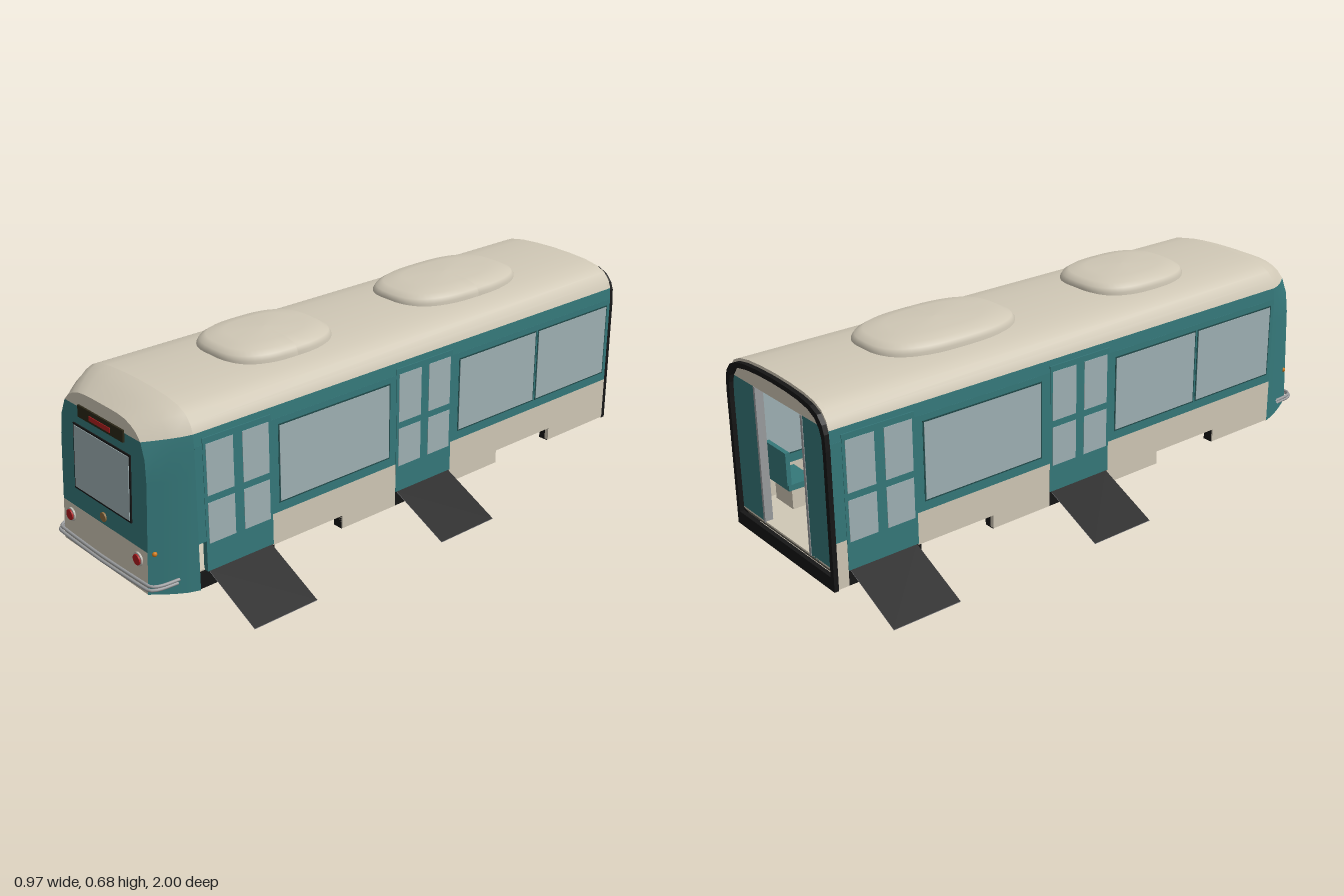
import * as THREE from 'three';

const TEAL = 0x35787a, CREAM = 0xd0c8b6, GLASS = 0x9fb1b4, BLACK = 0x161616, GREY = 0x9a9c9e;
const WALL_X = 0.2675;

// Half outlines (x, y), bottom edge to roof centre: body section and front face
const BODY = [[0.275, 0.047], [0.275, 0.42], [0.275, 0.5], [0.272, 0.55], [0.262, 0.577], [0.24, 0.602],
  [0.205, 0.618], [0.15, 0.628], [0.08, 0.633], [0, 0.635]];
const FACE = [[0.225, 0.07], [0.225, 0.42], [0.218, 0.49], [0.198, 0.54], [0.176, 0.562], [0.15, 0.576],
  [0.12, 0.585], [0.085, 0.589], [0.045, 0.59], [0, 0.59]];

const faceZ = y => 0.98 - 0.05 * (y - 0.07);
const mirrored = half => [...half, ...half.slice(0, -1).reverse().map(([x, y]) => [-x, y])];
const toShape = pts => new THREE.Shape(pts.map(([x, y]) => new THREE.Vector2(x, y)));

export function createModel() {
  const root = new THREE.Group();
  const mats = {};
  const mat = color => (mats[color] ??= new THREE.MeshStandardMaterial({ color, side: THREE.DoubleSide }));
  const add = (name, geo, color, parent = root) => {
    const m = new THREE.Mesh(geo, mat(color));
    m.name = name;
    parent.add(m);
    return m;
  };
  const group = name => {
    const g = new THREE.Group();
    g.name = name;
    root.add(g);
    return g;
  };
  // Box given by its limits on each axis
  const block = (name, [x0, x1], [y0, y1], [z0, z1], color, parent) => add(name,
    new THREE.BoxGeometry(Math.abs(x1 - x0), Math.abs(y1 - y0), Math.abs(z1 - z0))
      .translate((x0 + x1) / 2, (y0 + y1) / 2, (z0 + z1) / 2), color, parent);
  // Smooth skin through rows of [x, y, z]
  const loft = (name, rows, color, parent) => {
    const n = rows[0].length, idx = [];
    for (let r = 0; r < rows.length - 1; r++) for (let i = 0; i < n - 1; i++) {
      const a = r * n + i, b = a + n;
      idx.push(a, a + 1, b, a + 1, b + 1, b);
    }
    const g = new THREE.BufferGeometry();
    g.setAttribute('position', new THREE.Float32BufferAttribute(rows.flat(2), 3));
    g.setIndex(idx);
    g.computeVertexNormals();
    return add(name, g, color, parent);
  };
  // Lean a geometry built around z = 0 onto the sloping front face
  const onFace = geo => {
    const p = geo.attributes.position;
    for (let i = 0; i < p.count; i++) p.setZ(i, p.getZ(i) + faceZ(p.getY(i)));
    geo.computeVertexNormals();
    return geo;
  };
  const faceBox = (name, w, y0, y1, d, color) =>
    add(name, onFace(new THREE.BoxGeometry(w, y1 - y0, d).translate(0, (y0 + y1) / 2, 0)), color);

  // Roof skin and tapering nose, split at the paint line (index 3)
  const body = mirrored(BODY), face = mirrored(FACE), last = body.length - 1;
  const bodyRows = [-0.985, 0.83].map(z => body.map(([x, y]) => [x, y, z]));
  const noseRows = [0, 0.25, 0.5, 0.75, 1].map(t => body.map(([x, y], i) => {
    const s = t ** 1.35, [fx, fy] = face[i];
    return [x + (fx - x) * s, y + (fy - y) * s, 0.83 + (faceZ(fy) - 0.83) * t];
  }));
  const part = (rows, a, b) => rows.map(r => r.slice(a, b + 1));
  loft('roof', part(bodyRows, 3, last - 3), CREAM);
  loft('noseTop', part(noseRows, 3, last - 3), CREAM);
  for (const [a, b] of [[0, 3], [last - 3, last]]) loft('noseSide', part(noseRows, a, b), TEAL);
  loft('leftCornice', part(bodyRows, 2, 3), TEAL);
  loft('rightCornice', part(bodyRows, last - 3, last - 2), TEAL);
  loft('noseUnderside', noseRows.map(r => [r[0], r[last]]), 0x5c564d);

  // Front face: lower cream panel, teal middle, cream brow
  const facePanel = (name, pts, color) => add(name, onFace(new THREE.ShapeGeometry(toShape(pts))), color);
  facePanel('frontLowerPanel', [[-0.225, 0.07], [0.225, 0.07], [0.225, 0.205], [-0.225, 0.205]], CREAM);
  facePanel('frontPanel', mirrored([[0.225, 0.205], ...FACE.slice(1, 4), [0, 0.54]]), TEAL);
  facePanel('frontBrow', mirrored(FACE.slice(3)), CREAM);
  faceBox('windscreenFrame', 0.3, 0.27, 0.483, 0.008, BLACK);
  faceBox('windscreen', 0.288, 0.277, 0.477, 0.012, GLASS);
  faceBox('destinationBox', 0.237, 0.512, 0.549, 0.012, 0x2b2717);
  faceBox('destinationStrip', 0.11, 0.52, 0.535, 0.016, 0xb02020);

  // Lamps and badge disc
  const disc = (name, x, y, r, d, color) => {
    const m = add(name, new THREE.CylinderGeometry(r, r, d, 24).rotateX(Math.PI / 2), color);
    m.position.set(x, y, faceZ(y));
  };
  disc('frontDisc', 0, 0.23, 0.015, 0.01, 0x8b6b3e);
  for (const s of [1, -1]) {
    disc('lampRing', s * 0.18, 0.168, 0.022, 0.01, 0xb8b4ac);
    disc('lamp', s * 0.18, 0.168, 0.017, 0.02, 0xb01a1e);
    add('markerLamp', new THREE.SphereGeometry(0.008, 12, 8), 0xd07a18).position.set(s * 0.233, 0.198, 0.955);
  }

  // Wrap-around bumper rails
  for (const [y, out] of [[0.094, 0], [0.104, -0.006]]) {
    const pts = [[-0.262, 0.9], [-0.258, 0.955], [-0.235, 0.988], [0, 0.995], [0.235, 0.988], [0.258, 0.955], [0.262, 0.9]];
    const curve = new THREE.CatmullRomCurve3(pts.map(([x, z]) => new THREE.Vector3(x, y, z + out)), false, 'catmullrom', 0.2);
    add('bumperRail', new THREE.TubeGeometry(curve, 48, 0.005, 8), GREY);
  }

  // Floor and black sills, interrupted at the wheel openings
  block('floorUnderside', [-0.262, 0.262], [0.092, 0.099], [-0.985, 0.83], 0x5a564c);
  block('floor', [-0.262, 0.262], [0.099, 0.105], [-0.985, 0.83], CREAM);
  const deep = [[0.55, 0.83], [-0.42, 0.28], [-0.69, -0.985].reverse()];
  for (const s of [1, -1]) for (const span of deep)
    block('sill', [s * 0.235, s * 0.27], [0.047, 0.1], span, BLACK);
  block('frontSill', [-0.27, 0.27], [0.047, 0.1], [0.81, 0.83], BLACK);

  // One side wall: panels, skirt, windows, doors and ramps
  const side = (s, name, doors, windows, skirts) => {
    const g = group(name);
    const slab = (n, y, z, thick, color) =>
      block(n, [s * (WALL_X - thick / 2), s * (WALL_X + thick / 2)], y, z, color, g);
    slab('wallPanel', [0.2, 0.51], [-0.985, 0.83], 0.015, TEAL);
    for (const [z0, z1, y0] of skirts) slab('skirt', [y0, 0.2], [z0, z1], 0.015, CREAM);
    for (const [z0, z1] of windows) {
      slab('windowFrame', [0.23, 0.49], [z0 - 0.005, z1 + 0.005], 0.0165, 0x204b4b);
      slab('window', [0.235, 0.485], [z0, z1], 0.019, GLASS);
    }
    for (const [z0, z1] of doors) {
      const mid = (z0 + z1) / 2;
      slab('door', [0.1, 0.53], [z0 - 0.006, z1 + 0.006], 0.018, TEAL);
      for (const a of [z0 + 0.004, mid + 0.017]) for (const y of [[0.19, 0.322], [0.345, 0.51]])
        slab('doorPane', y, [a, a + mid - z0 - 0.021], 0.021, GLASS);
      for (const d of [-0.03, 0.03]) {
        const bar = add('doorHandle', new THREE.CylinderGeometry(0.003, 0.003, 0.18, 8), GREY, g);
        bar.position.set(s * 0.252, 0.32, mid + d);
      }
      // Sloping ramp: dark tread above, lighter plate below
      const ramp = (n, drop, color) => loft(n, [z0, z1].map(z =>
        [[s * 0.275, 0.1 - drop, z], [s * 0.485, 0.002 - drop, z]]), color, g);
      ramp('rampTread', 0, 0x232323);
      ramp('rampUnderside', 0.002, 0x6c6c70);
    }
  };
  side(1, 'leftSide', [[0.563, 0.797], [-0.187, 0.047]],
    [[0.085, 0.525], [-0.593, -0.23], [-0.965, -0.61]],
    [[0.28, 0.557, 0.095], [0.053, 0.28, 0.05], [-0.42, -0.193, 0.05], [-0.69, -0.42, 0.095], [-0.985, -0.69, 0.05]]);
  side(-1, 'rightSide', [[-0.187, 0.047], [-0.943, -0.709]],
    [[0.085, 0.44], [0.457, 0.81], [-0.67, -0.23]],
    [[0.55, 0.83, 0.05], [0.28, 0.55, 0.095], [0.053, 0.28, 0.05], [-0.42, -0.193, 0.05], [-0.703, -0.42, 0.095], [-0.985, -0.949, 0.05]]);

  // Open rear end: side panels, lintel, door posts and black gasket
  for (const s of [1, -1]) {
    block('rearPanel', [s * 0.135, s * 0.268], [0.1, 0.55], [-0.985, -0.97], TEAL);
    block('rearPost', [s * 0.125, s * 0.135], [0.1, 0.55], [-0.987, -0.96], GREY);
  }
  add('rearLintel', new THREE.ExtrudeGeometry(toShape(mirrored(BODY.slice(3))), { depth: 0.015, bevelEnabled: false }), CREAM)
    .position.z = -0.985;
  const gasket = toShape(body.map(([x, y]) => [x, y * 0.985]));
  gasket.holes.push(new THREE.Path(body.map(([x, y]) => new THREE.Vector2(x * 0.94, y < 0.1 ? 0.09 : y * 0.985 - 0.015))));
  add('rearGasket', new THREE.ExtrudeGeometry(gasket, { depth: 0.015, bevelEnabled: false }), BLACK).position.z = -1;

  // Roof pods: rounded oblong rings rising to a shallow crown
  const pod = (name, z0, z1) => {
    const rings = [[1, 0.612], [1, 0.638], [0.96, 0.652], [0.86, 0.664], [0.6, 0.672], [0, 0.675]];
    const pw = v => Math.sign(v) * Math.abs(v) ** 0.72;
    loft(name, rings.map(([k, y]) => Array.from({ length: 49 }, (_, i) => {
      const a = -i / 48 * Math.PI * 2;
      return [0.162 * k * pw(Math.cos(a)), y, (z0 + z1) / 2 + (z1 - z0) / 2 * k * pw(Math.sin(a))];
    })), CREAM);
  };
  pod('rearRoofPod', -0.69, -0.16);
  pod('frontRoofPod', 0.15, 0.565);

  // Seats on plinths beside the windows, with grab poles
  const seat = (s, z, facing) => {
    const g = group('seat');
    block('plinth', [-0.05, 0.05], [0, 0.07], [-0.03, 0.03], CREAM, g);
    block('cushion', [-0.06, 0.06], [0.07, 0.09], [-0.045, 0.045], TEAL, g);
    block('backrest', [-0.06, 0.06], [0.09, 0.2], [-0.05, -0.035], TEAL, g);
    g.position.set(s * 0.19, 0.105, z);
    if (facing < 0) g.rotation.y = Math.PI;
  };
  for (const [s, zs] of [[1, [-0.85, -0.68, -0.45, -0.3, 0.15, 0.3, 0.45]], [-1, [-0.6, -0.45, -0.3, 0.15, 0.3, 0.45]]])
    zs.forEach((z, i) => seat(s, z, i % 2 ? -1 : 1));
  for (const s of [1, -1]) for (const z of [-0.65, -0.22, 0.08, 0.54])
    add('grabPole', new THREE.CylinderGeometry(0.004, 0.004, 0.51, 8), GREY).position.set(s * 0.12, 0.36, z);
  for (const s of [1, -1])
    add('ceilingRail', new THREE.CylinderGeometry(0.004, 0.004, 1.6, 8).rotateX(Math.PI / 2), GREY).position.set(s * 0.12, 0.54, -0.1);

  return root;
}
